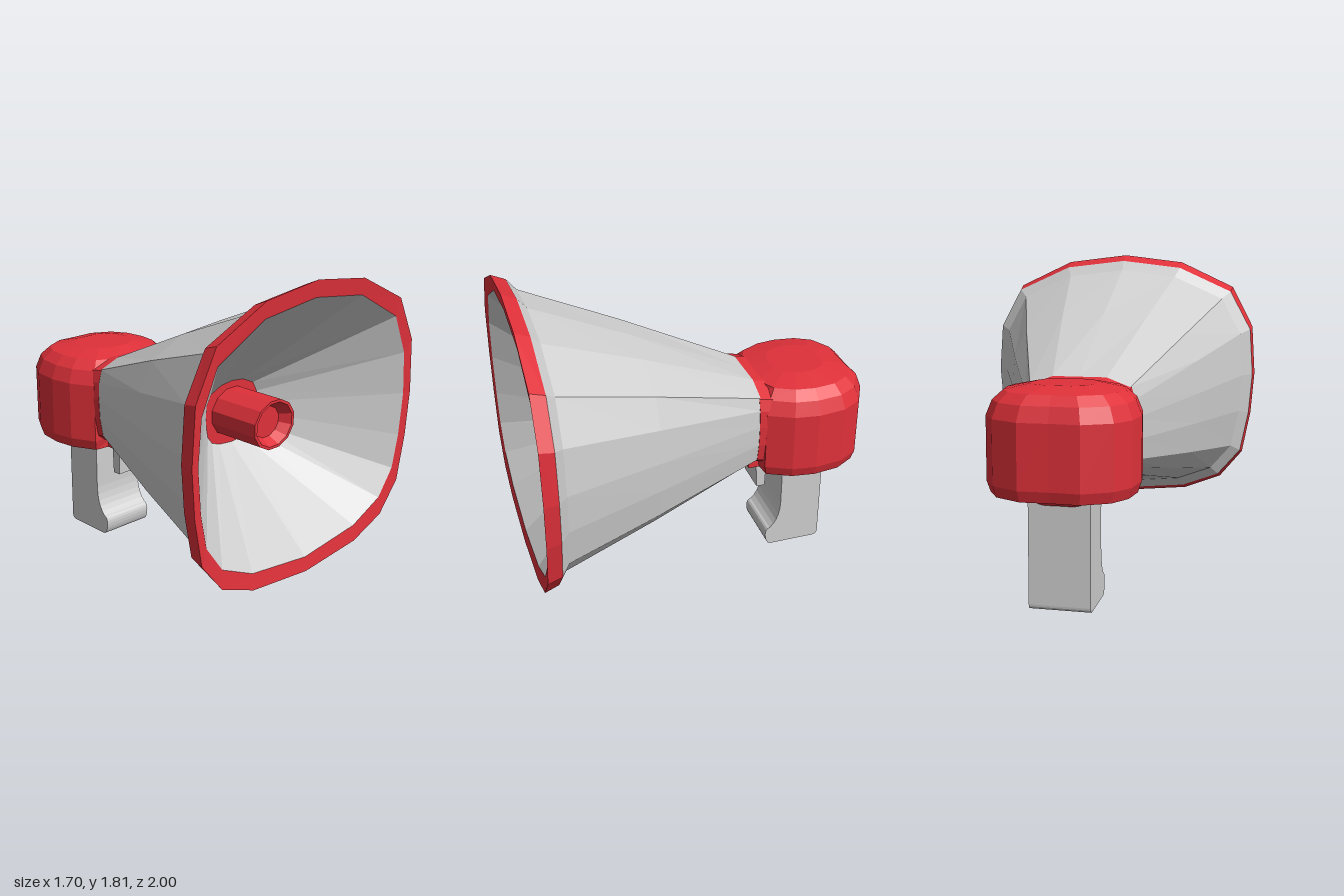
import * as THREE from 'three';

const red = new THREE.MeshStandardMaterial({ color: 0xe0313a });
red.name = 'red';
const grey = new THREE.MeshStandardMaterial({ color: 0xcfcfcf });
grey.name = 'light grey';

// Skin a list of closed rings with flat facets
function loft(rings) {
  const pos = [];
  for (let i = 0; i < rings.length - 1; i++) {
    const p = rings[i], q = rings[i + 1], n = p.length;
    for (let j = 0; j < n; j++) {
      const k = (j + 1) % n;
      pos.push(...p[j], ...q[j], ...p[k], ...p[k], ...q[j], ...q[k]);
    }
  }
  const g = new THREE.BufferGeometry();
  g.setAttribute('position', new THREE.Float32BufferAttribute(pos, 3));
  g.computeVertexNormals();
  return g;
}

// Complete a right-hand half outline with its mirror image
const mirror = (half) => [...half, ...half.slice(1, -1).reverse().map(([x, y]) => [-x, y])];

// Half outlines of the horn mouth (about its centre), its inner edge and its neck
const MOUTH = mirror([[0, 0.79], [0.37, 0.745], [0.7, 0.59], [0.83, 0.34], [0.85, 0.04],
  [0.83, -0.22], [0.78, -0.48], [0.64, -0.65], [0.41, -0.74], [0, -0.78]]);
const INNER = mirror([[0, 1.72], [0.37, 1.675], [0.68, 1.51], [0.78, 1.29], [0.8, 1.05],
  [0.78, 0.81], [0.74, 0.62], [0.63, 0.47], [0.41, 0.37], [0, 0.32]]);
const NECK = mirror([[0, 1.17], [0.15, 1.17], [0.28, 1.12], [0.3, 1.05], [0.305, 0.95],
  [0.3, 0.83], [0.28, 0.72], [0.23, 0.68], [0.15, 0.66], [0, 0.655]]);

const at = (outline, z) => outline.map(([x, y]) => [x, y, z]);
const mouth = (z, sx, sy, cy = 1.02) => MOUTH.map(([x, y]) => [x * sx, cy + y * sy, z]);
const point = (y, z, n = MOUTH.length) => Array.from({ length: n }, () => [0, y, z]);

export function createModel() {
  const model = new THREE.Group();
  const add = (name, geometry, material) => {
    const mesh = new THREE.Mesh(geometry, material);
    mesh.name = name;
    model.add(mesh);
  };

  // Horn outside, bulging slightly halfway
  const back = at(NECK, -0.33), front = mouth(0.87, 0.92, 0.88);
  const middle = back.map((p, i) => {
    const x = p[0] + (front[i][0] - p[0]) * 0.57;
    const y = p[1] + (front[i][1] - p[1]) * 0.57;
    return [x, y, 0.33];
  });
  const flare = mouth(0.92, 0.99, 0.955);
  add('hornOutside', loft([back, middle, front, flare]), grey);

  // Rim and horn inside
  const lip = at(INNER, 0.99), throat = mouth(0.44, 0.235, 0.224, 0.995);
  add('rim', loft([flare, mouth(1, 1, 1), lip]), red);
  add('hornInside', loft([lip, throat]), grey);
  add('throatCollar', loft([throat, point(0.995, 0.44)]), red);

  // Hollow sound tube in the throat
  const circle = (r, z) => Array.from({ length: 12 }, (_, i) => {
    const a = ((i + 0.5) / 12) * Math.PI * 2;
    return [r * Math.sin(a), 1 + 0.87 * r * Math.cos(a), z];
  });
  add('soundTube', loft([circle(0.158, 0.44), circle(0.158, 0.75), circle(0.14, 0.75),
    circle(0.1, 0.69), point(1, 0.69, 12)]), red);

  // Neck ring joining horn and housing
  add('neckRing', loft([NECK.map(([x, y]) => [x * 1.03, y - 0.015, -0.4]),
    NECK.map(([x, y]) => [x * 1.02, y, -0.32]), back.map(([x, y]) => [x * 0.9, y, -0.31])]), red);
  const lipBox = new THREE.BoxGeometry(0.42, 0.06, 0.1);
  lipBox.translate(0, 0.65, -0.35);
  add('neckLip', lipBox, red);

  // Rounded housing, cut flat towards the horn
  const PLAN = mirror([[0, 0.37], [0.16, 0.35], [0.31, 0.28], [0.38, 0.14], [0.4, 0],
    [0.38, -0.16], [0.31, -0.28], [0.16, -0.36], [0, -0.355]]);
  const levels = [[0.56, 0], [0.565, 0.45], [0.62, 0.68], [0.62, 0.95], [0.68, 1],
    [1.02, 1], [1.1, 0.92], [1.15, 0.78], [1.18, 0.42], [1.18, 0]];
  add('housing', loft(levels.map(([y, s]) =>
    PLAN.map(([x, z]) => [-x * s, y, -0.64 + Math.min(z * s, 0.28)]))), red);

  // Grip and trigger, drawn in side profile and extruded across the width
  const extrude = (shape, width) => {
    const g = new THREE.ExtrudeGeometry(shape, { depth: width, bevelEnabled: false, curveSegments: 5 });
    g.rotateY(-Math.PI / 2);
    g.translate(width / 2, 0, 0);
    return g;
  };
  const grip = new THREE.Shape();
  grip.moveTo(-0.79, 0.65);
  grip.lineTo(-0.79, 0.03);
  grip.quadraticCurveTo(-0.79, 0, -0.75, 0);
  grip.lineTo(-0.48, 0);
  grip.quadraticCurveTo(-0.455, 0, -0.445, 0.05);
  grip.quadraticCurveTo(-0.435, 0.11, -0.47, 0.12);
  grip.quadraticCurveTo(-0.53, 0.17, -0.535, 0.29);
  grip.lineTo(-0.535, 0.65);
  add('grip', extrude(grip, 0.33), grey);

  const trigger = new THREE.Shape([[-0.46, 0.66], [-0.45, 0.4], [-0.4, 0.4], [-0.385, 0.66]]
    .map(([z, y]) => new THREE.Vector2(z, y)));
  add('trigger', extrude(trigger, 0.2), grey);

  return model;
}
